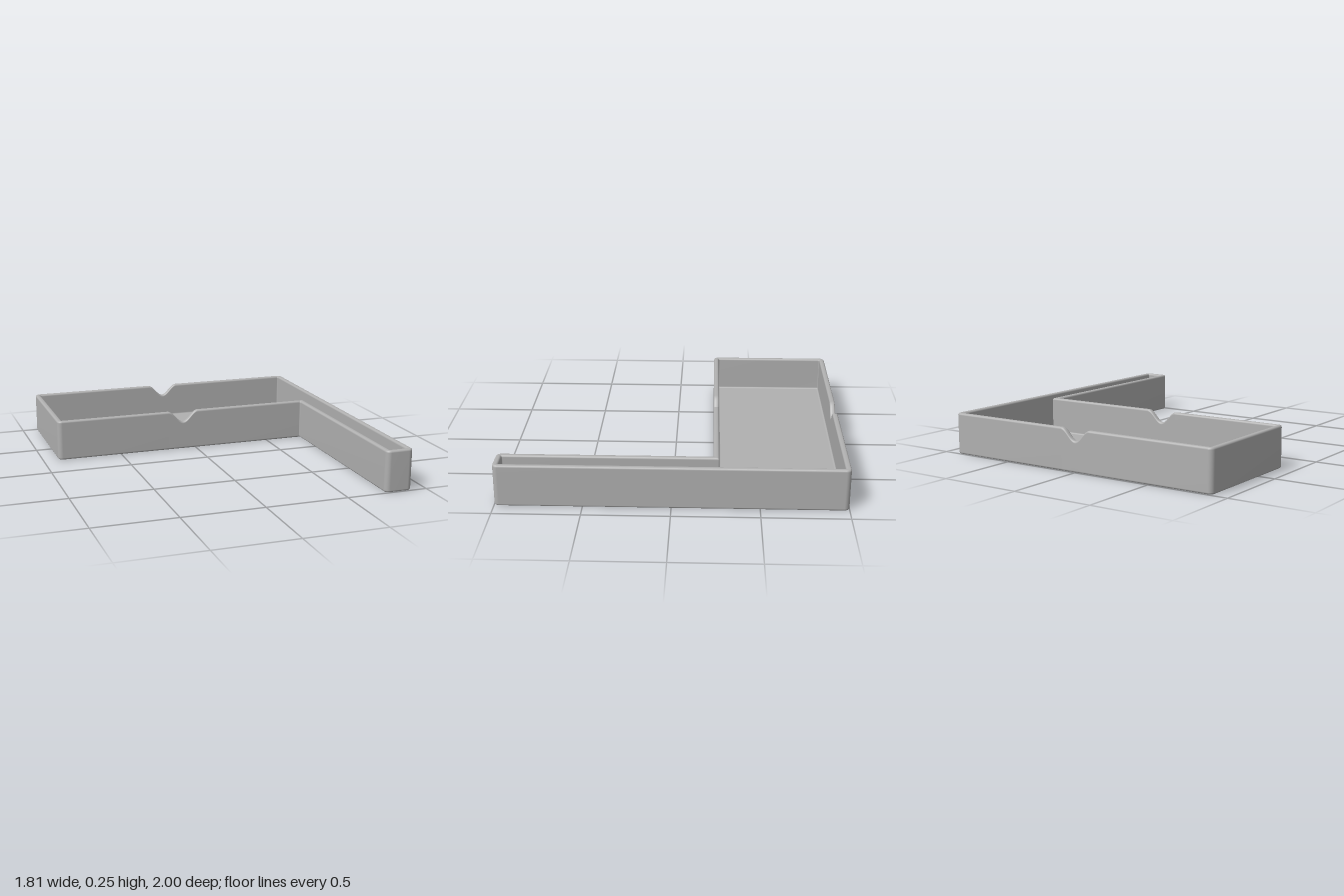
import * as THREE from 'three';

const HEIGHT = 0.25, WALL = 0.033, FLOOR = 0.033, FILLET = 0.012;
const CORNER_RADIUS = 0.03, REFLEX_RADIUS = 0.006, ARC_STEPS = 6;
const NOTCH_HALF = 0.1, NOTCH_DEPTH = 0.07, NOTCH_STEPS = 28;

// L-shaped outline, anticlockwise seen from above, as [x, -z];
// notch is the x of a finger notch in the wall that starts at that corner
const CORNERS = [
  { p: [-0.907, 0.235], notch: -0.085 },
  { p: [0.737, 0.235] },
  { p: [0.737, -1] },
  { p: [0.907, -1] },
  { p: [0.907, 1], notch: -0.005 },
  { p: [-0.907, 1] },
];

// Outline moved inward by d; each point also carries its notch depth
function outline(d) {
  const points = [];
  const count = CORNERS.length;
  const corner = (i) => new THREE.Vector2(...CORNERS[(i + count) % count].p);
  const inward = (v) => new THREE.Vector2(-v.y, v.x);
  for (let i = 0; i < count; i++) {
    const p = corner(i);
    const d1 = p.clone().sub(corner(i - 1)).normalize();
    const d2 = corner(i + 1).sub(p).normalize();
    const n1 = inward(d1), n2 = inward(d2), both = n1.clone().add(n2);
    const convex = d1.cross(d2) > 0;
    const side = convex ? 1 : -1;
    const r = convex ? Math.max(CORNER_RADIUS - d, 0.005) : REFLEX_RADIUS;
    const centre = p.clone().addScaledVector(both, d + side * r);

    // rounded corner
    for (let k = 0; k <= ARC_STEPS; k++) {
      const a = (k / ARC_STEPS) * Math.PI / 2;
      const q = centre.clone()
        .addScaledVector(n1, -side * r * Math.cos(a))
        .addScaledVector(n2, -side * r * Math.sin(a));
      points.push({ x: q.x, w: q.y, dip: 0 });
    }

    // extra points along a wall that has a notch
    const notch = CORNERS[i].notch;
    if (notch !== undefined) {
      for (let k = 0; k <= NOTCH_STEPS; k++) {
        const t = (2 * k) / NOTCH_STEPS - 1;
        points.push({
          x: notch + d2.x * t * NOTCH_HALF,
          w: p.y + n2.y * d,
          dip: NOTCH_DEPTH * (0.5 + 0.5 * Math.cos(Math.PI * t)),
        });
      }
    }
  }
  return points;
}

// Wall section from underside, up the outside, over the rim and down to the floor:
// [inset, height, follows the notch]
function wallSection() {
  const section = [];
  const fillet = (cx, cy, r, from, to, top) => {
    for (let k = 0; k <= 4; k++) {
      const a = THREE.MathUtils.degToRad(from + (to - from) * k / 4);
      section.push([cx + r * Math.cos(a), cy + r * Math.sin(a), top]);
    }
  };
  fillet(FILLET, FILLET, FILLET, 270, 180, false);
  fillet(FILLET, HEIGHT - FILLET, FILLET, 180, 90, true);
  fillet(WALL - FILLET, HEIGHT - FILLET, FILLET, 90, 0, true);
  fillet(WALL + 0.01, FLOOR + 0.01, 0.01, 180, 270, false);
  return section;
}

function trayGeometry() {
  const section = wallSection();
  const positions = [], index = [];
  const rings = section.map(([inset]) => outline(inset));
  const n = rings[0].length;

  // walls
  rings.forEach((ring, i) => {
    const [, y, top] = section[i];
    ring.forEach((q, j) => {
      positions.push(q.x, y - (top ? q.dip : 0), -q.w);
      if (i === rings.length - 1) return;
      const k = (j + 1) % n;
      const a = i * n + j, b = i * n + k, c = b + n, d = a + n;
      index.push(a, b, c, a, c, d);
    });
  });

  // underside and inner floor
  const cap = (i, up) => {
    const contour = rings[i].map((q) => new THREE.Vector2(q.x, q.w));
    for (const [a, b, c] of THREE.ShapeUtils.triangulateShape(contour, [])) {
      const o = i * n;
      if (up) index.push(o + a, o + b, o + c);
      else index.push(o + a, o + c, o + b);
    }
  };
  cap(0, false);
  cap(rings.length - 1, true);

  const geometry = new THREE.BufferGeometry();
  geometry.setAttribute('position', new THREE.Float32BufferAttribute(positions, 3));
  geometry.setIndex(index);
  geometry.computeVertexNormals();
  return geometry;
}

export function createModel() {
  const group = new THREE.Group();
  group.name = 'lShapedTray';
  const grey = new THREE.MeshStandardMaterial({ color: 0xb0b0b0 });
  grey.name = 'grey';
  const tray = new THREE.Mesh(trayGeometry(), grey);
  tray.name = 'tray';
  group.add(tray);
  return group;
}
